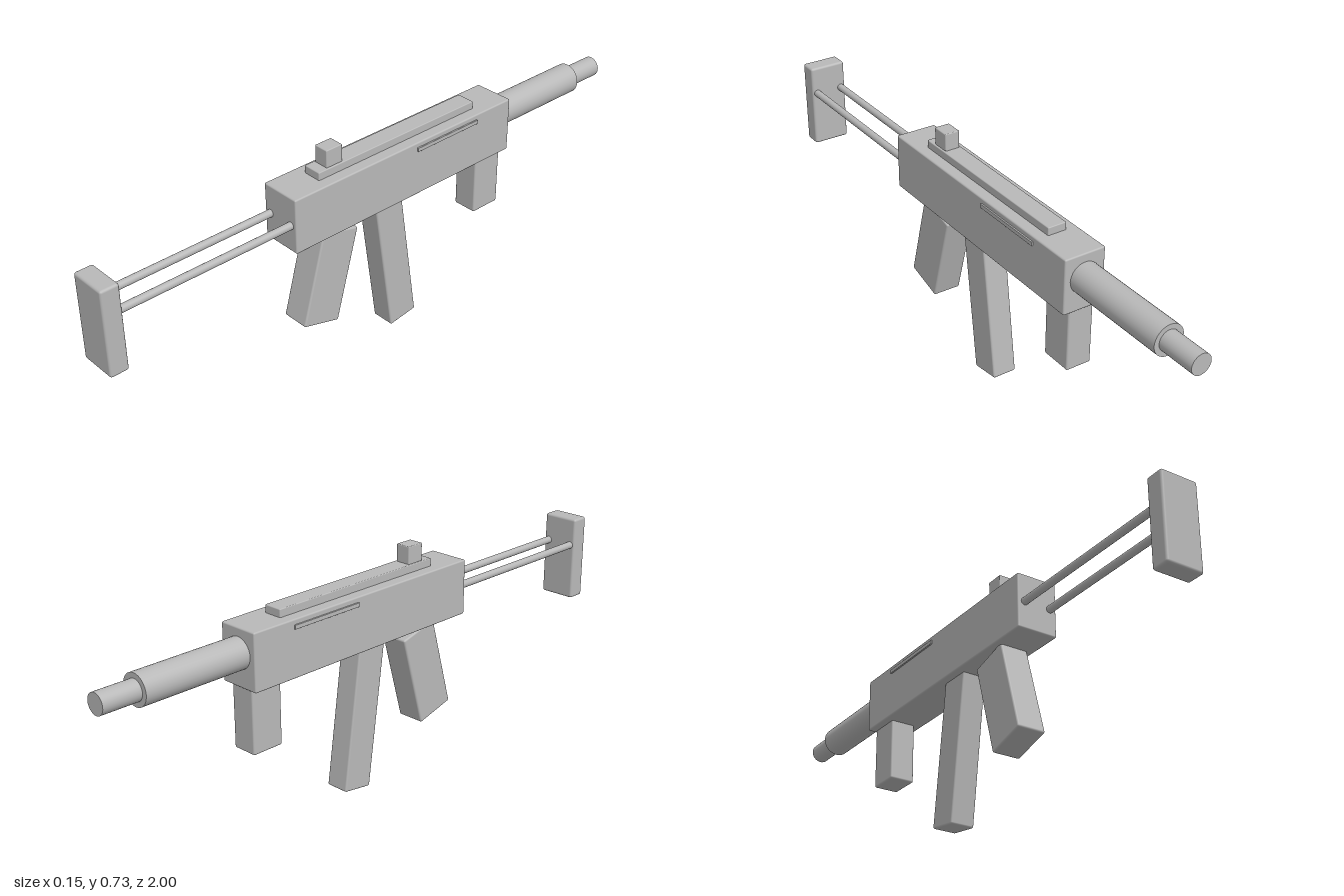
import * as THREE from 'three';
import { RoundedBoxGeometry } from 'three/addons/geometries/RoundedBoxGeometry.js';

export function createModel() {
  const group = new THREE.Group();
  const grey = new THREE.MeshStandardMaterial({ color: 0xb8b8b8 });
  grey.name = 'plain grey';

  function add(name, geometry, x, y, z, tilt = 0) {
    const mesh = new THREE.Mesh(geometry, grey);
    mesh.name = name;
    mesh.position.set(x, y, z);
    mesh.rotation.x = tilt;
    group.add(mesh);
  }

  // Softly bevelled box given by its size and centre
  function block(name, [w, h, d], [x, y, z], tilt = 0, bevel = 0.006) {
    add(name, new RoundedBoxGeometry(w, h, d, 2, bevel), x, y, z, tilt);
  }

  // Cylinder lying along z between two ends
  function rod(name, radius, x, y, z0, z1, sides = 32) {
    const geometry = new THREE.CylinderGeometry(radius, radius, z1 - z0, sides);
    geometry.rotateX(Math.PI / 2);
    add(name, geometry, x, y, (z0 + z1) / 2);
  }

  // Body with top rail and sight
  block('receiver', [0.136, 0.18, 0.88], [0, 0.565, -0.08], 0, 0.005);
  block('topRail', [0.062, 0.035, 0.63], [0, 0.6625, -0.075], 0, 0.003);
  block('rearSight', [0.05, 0.065, 0.06], [0, 0.7035, 0.175], 0, 0.003);

  // Barrel
  rod('barrelShroud', 0.049, 0, 0.579, -0.875, -0.5);
  rod('muzzle', 0.033, 0, 0.579, -1, -0.86);

  // Grips and magazine
  block('pistolGrip', [0.094, 0.314, 0.138], [0, 0.3135, 0.214], -0.27);
  block('magazine', [0.08, 0.5, 0.106], [0, 0.256, -0.058], 0.14);
  block('foreGrip', [0.084, 0.22, 0.108], [0, 0.382, -0.457]);

  // Folding stock
  block('buttPlate', [0.124, 0.282, 0.06], [0, 0.514, 0.97], 0, 0.008);

  // Paired parts on both sides
  for (const side of [-1, 1]) {
    rod(side > 0 ? 'leftStockRod' : 'rightStockRod', 0.012, side * 0.045, 0.563, 0.34, 0.95, 16);
    block(side > 0 ? 'leftSideStrip' : 'rightSideStrip',
      [0.01, 0.013, 0.255], [side * 0.068, 0.632, -0.243], 0, 0.001);
  }

  return group;
}
